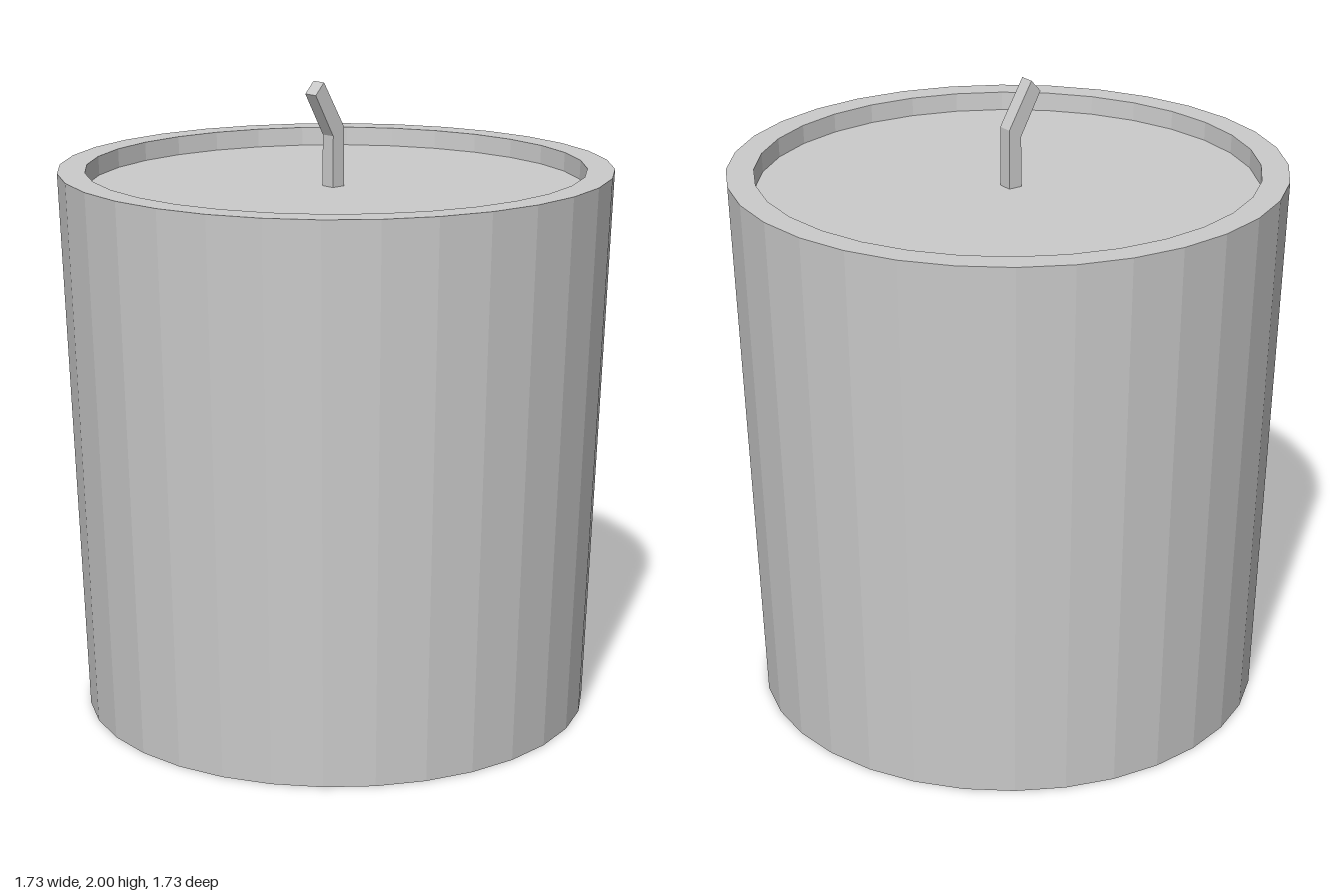
import * as THREE from 'three';

export function createModel() {
  const model = new THREE.Group();
  model.name = 'candle';
  const material = new THREE.MeshStandardMaterial({ color: 0xcccccc, flatShading: true });

  // Tapered body with a raised rim around a shallow recess
  const profile = [
    [0, 0], [0.8, 0], [0.863, 1.73], [0.778, 1.73], [0.776, 1.67], [0, 1.67],
  ].map(([r, y]) => new THREE.Vector2(r, y));
  const body = new THREE.Mesh(new THREE.LatheGeometry(profile, 32), material);
  body.name = 'body';
  model.add(body);

  // Square wick, bent sideways near the top
  const outline = new THREE.Shape([
    [-0.03, 1.66], [0.016, 1.66], [0.016, 1.857],
    [-0.066, 2.0], [-0.1, 1.963], [-0.028, 1.83],
  ].map(([x, y]) => new THREE.Vector2(x, y)));
  const wickGeometry = new THREE.ExtrudeGeometry(outline, { depth: 0.048, bevelEnabled: false });
  wickGeometry.translate(0, 0, -0.03);
  const wick = new THREE.Mesh(wickGeometry, material);
  wick.name = 'wick';
  model.add(wick);

  return model;
}
